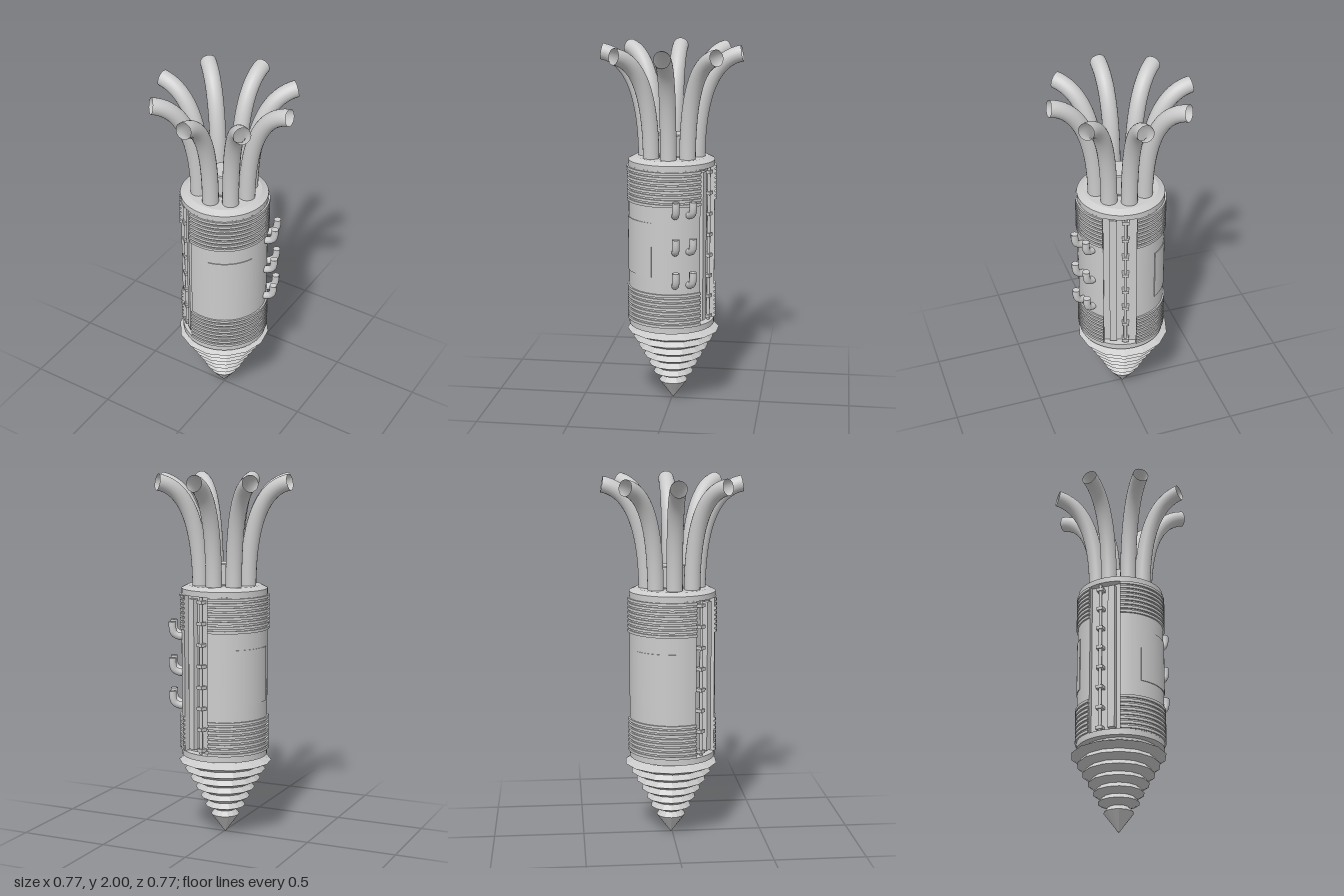
import * as THREE from 'three';
import { toCreasedNormals } from 'three/addons/utils/BufferGeometryUtils.js';

const grey = new THREE.MeshStandardMaterial({ color: 0xcccccc });
const greyFlat = new THREE.MeshStandardMaterial({ color: 0xcccccc, flatShading: true });
const greyOpen = new THREE.MeshStandardMaterial({ color: 0xcccccc, side: THREE.DoubleSide });

const rad = THREE.MathUtils.degToRad;
const SLOTS = [70, 230];   // slot directions, degrees
const HALF = 22;           // half the slot's angle
const FLOOR = 0.19;        // distance of the slot floor from the axis
const R = 0.236;

function add(parent, name, geometry, material = grey) {
  const mesh = new THREE.Mesh(geometry, material);
  mesh.name = name;
  parent.add(mesh);
  return mesh;
}

// Extrude a plan shape upwards from y0 to y1
function extrudeUp(shape, y0, y1) {
  const g = new THREE.ExtrudeGeometry(shape, { depth: y1 - y0, bevelEnabled: false, curveSegments: 28 });
  g.rotateX(-Math.PI / 2).translate(0, y0, 0);
  return toCreasedNormals(g, 0.5);
}

// Round plan with the two slots cut out
function slottedPlan(r) {
  const shape = new THREE.Shape();
  const w = R * Math.sin(rad(HALF));
  SLOTS.forEach((deg, i) => {
    const c = Math.cos(rad(deg)), s = Math.sin(rad(deg));
    for (const side of [-1, 1]) {
      const x = c * FLOOR - s * w * side, y = s * FLOOR + c * w * side;
      if (i === 0 && side < 0) shape.moveTo(x, y);
      else shape.lineTo(x, y);
    }
    const next = i === 0 ? SLOTS[1] : SLOTS[0] + 360;
    shape.absarc(0, 0, r, rad(deg + HALF), rad(next - HALF), false);
  });
  return shape;
}

// Thin curved plate plan between two angles
function platePlan(a, b, inner, outer) {
  const shape = new THREE.Shape();
  shape.absarc(0, 0, outer, rad(a), rad(b), false);
  shape.absarc(0, 0, inner, rad(b), rad(a), true);
  return shape;
}

function lathe(points, segments) {
  return new THREE.LatheGeometry(points.map(p => new THREE.Vector2(...p)), segments);
}

function makeBody() {
  const body = new THREE.Group();
  body.name = 'body';
  add(body, 'slottedBarrel', extrudeUp(slottedPlan(R), 0.485, 1.355));
  // Ribbed bands at both ends
  for (const start of [0.49, 1.16]) {
    for (let i = 0; i < 8; i++) {
      const y = start + i * 0.0247;
      add(body, 'rib', extrudeUp(slottedPlan(0.245), y, y + 0.015));
    }
  }
  // End caps with a chamfered top
  add(body, 'bottomCap', toCreasedNormals(lathe([[0, 0.425], [0.195, 0.425], [0.195, 0.455], [R, 0.455], [R, 0.488], [0, 0.488]], 48), 0.4));
  add(body, 'topCap', toCreasedNormals(lathe([[0, 1.352], [R, 1.352], [R, 1.382], [0.2, 1.4], [0, 1.4]], 48), 0.3));
  // Slightly raised wall panels
  for (const [a, b] of [[280, 340], [122, 185]]) {
    add(body, 'wallPanel', extrudeUp(platePlan(a, b, 0.23, 0.24), 0.77, 1.07));
  }
  return body;
}

// Bar and clipped rod lying in a slot
function makeSlotFittings(deg, side) {
  const g = new THREE.Group();
  g.name = 'slotFittings';
  g.rotation.y = rad(deg);
  add(g, 'slotBar', new THREE.BoxGeometry(0.034, 0.83, 0.04)).position.set(0.203, 0.92, -0.036 * side);
  add(g, 'slotRod', new THREE.CylinderGeometry(0.009, 0.009, 0.86, 10)).position.set(0.212, 0.92, 0.03 * side);
  for (let i = 0; i < 8; i++) {
    add(g, 'rodClip', new THREE.BoxGeometry(0.04, 0.018, 0.038)).position.set(0.206, 0.51 + i * 0.116, 0.03 * side);
  }
  return g;
}

// Stack of narrowing cutting teeth ending in a point
function makeDrill() {
  const radii = [0.08, 0.112, 0.137, 0.165, 0.195, 0.224, 0.257];
  const points = [[0, 0]];
  radii.forEach((r, i) => {
    const y = 0.108 + i * 0.052;
    if (i > 0) points.push([radii[i - 1] - 0.022, y - 0.025]);
    points.push([r, y]);
  });
  points.push([0.2, 0.445], [0, 0.445]);
  const drill = new THREE.Group();
  drill.name = 'drill';
  add(drill, 'drillTeeth', lathe(points, 14), greyFlat);
  drill.position.set(-0.008, 0, -0.008);
  drill.rotation.y = rad(10);
  return drill;
}

export function createModel() {
  const model = new THREE.Group();
  model.name = 'drillPod';
  model.add(makeBody(), makeDrill(), makeSlotFittings(SLOTS[0], -1), makeSlotFittings(SLOTS[1], 1));

  // Central stub with a shallow recess
  add(model, 'centreStub', toCreasedNormals(lathe([[0.084, 1.395], [0.084, 1.405], [0.076, 1.405], [0.076, 1.515], [0.07, 1.52], [0, 1.52]], 32), 0.4));

  // Eight hollow pipes curving outwards
  const pipePath = new THREE.CubicBezierCurve3(
    new THREE.Vector3(0.139, 1.38, 0), new THREE.Vector3(0.139, 1.69, 0),
    new THREE.Vector3(0.2, 1.925, 0), new THREE.Vector3(0.378, 1.957, 0));
  const pipe = new THREE.TubeGeometry(pipePath, 28, 0.044, 20);
  for (let i = 0; i < 8; i++) {
    add(model, 'pipe', pipe, greyOpen).rotation.y = i * Math.PI / 4;
  }

  // Two columns of upturned hooks
  const hookPath = new THREE.CatmullRomCurve3([
    [0.215, 0.022], [0.25, 0.024], [0.277, 0.04], [0.286, 0.066], [0.287, 0.105],
  ].map(([x, y]) => new THREE.Vector3(x, y, 0)));
  const hookTube = new THREE.TubeGeometry(hookPath, 16, 0.02, 12);
  const hookEnd = new THREE.CircleGeometry(0.02, 12).rotateX(-Math.PI / 2).translate(0.287, 0.105, 0);
  for (const deg of [12, 31]) {
    for (const y of [0.708, 0.893, 1.093]) {
      const hook = new THREE.Group();
      hook.name = 'hook';
      add(hook, 'hookTube', hookTube);
      add(hook, 'hookEnd', hookEnd);
      hook.position.y = y;
      hook.rotation.y = rad(deg);
      model.add(hook);
    }
  }
  return model;
}
